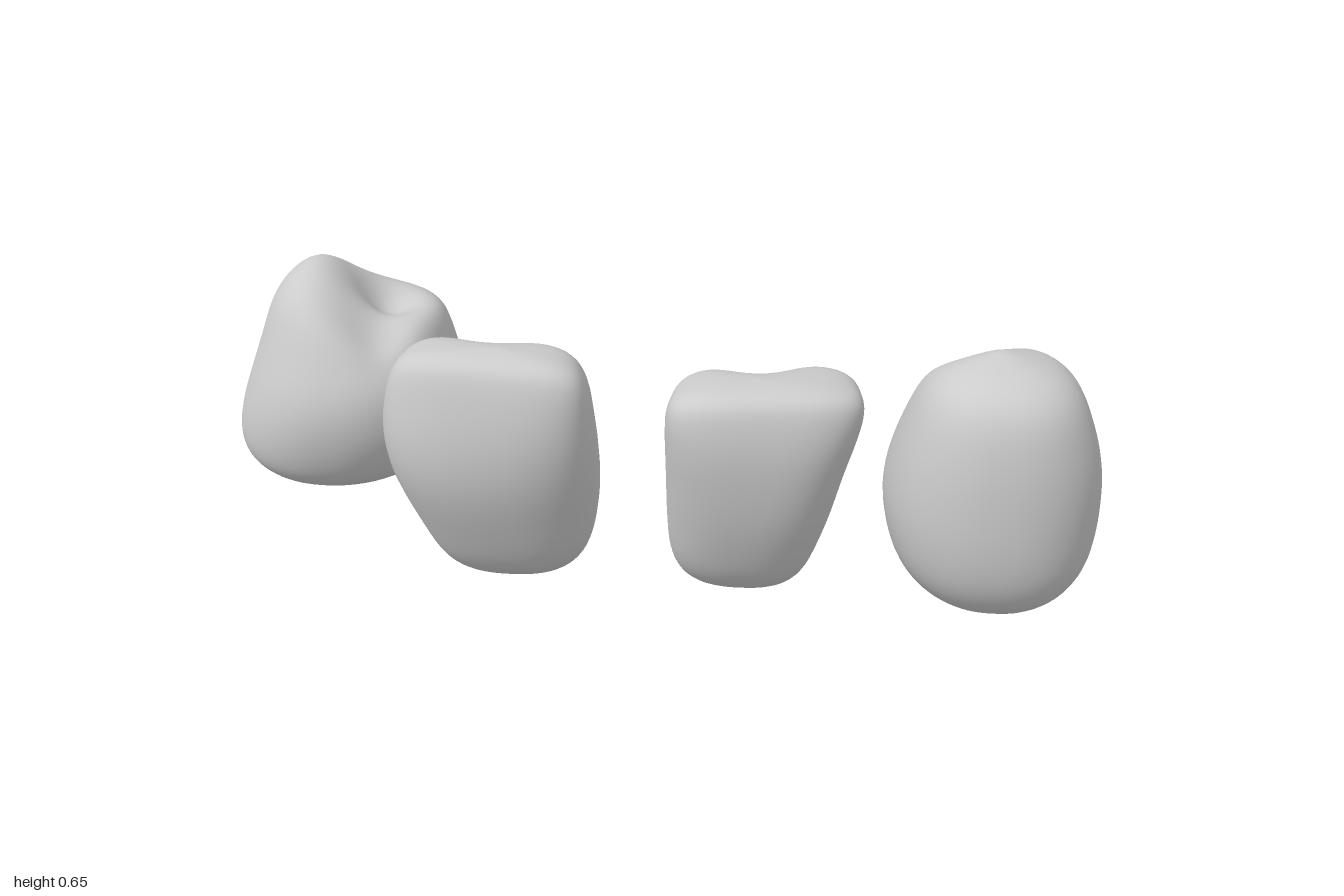
import * as THREE from 'three';
import { mergeVertices } from 'three/addons/utils/BufferGeometryUtils.js';

const COLS = 64, CAP = 14, BODY = 24, SMOOTHING = 24;
const material = new THREE.MeshStandardMaterial({ color: 0xcccccc, roughness: 0.8 });
const { smoothstep, lerp } = THREE.MathUtils;
const signedPow = (v, e) => Math.sign(v) * Math.pow(Math.abs(v), e);

// Plan outline in a -1..1 square: a superellipse narrowed towards the back by taper
function planOutline(power, taper) {
  const points = [];
  for (let j = 0; j < COLS; j++) {
    const a = j / COLS * Math.PI * 2;
    const v = signedPow(Math.sin(a), 2 / power);
    points.push([signedPow(Math.cos(a), 2 / power) * (1 - taper * (1 - v) / 2), v]);
  }
  const widest = Math.max(...points.map(p => p[0]));
  return points.map(([u, v]) => [u / widest, v]);
}

// Rounded end: shrinks an end ring [y, xMid, zMid, xHalf, zHalf] towards a point
function capRing([y, x, z, hx, hz], [px, py, pz], t, power) {
  const k = t < 1 ? Math.pow(Math.cos(t * Math.PI / 2), 2 / power) : 0;
  const rise = Math.pow(Math.sin(t * Math.PI / 2), 2 / power);
  return [lerp(y, py, rise), lerp(px, x, k), lerp(pz, z, k), hx * k, hz * k];
}

// Averages each ring with its neighbours so body and caps flow together
function relax(rings) {
  return rings.map((ring, i) => (i === 0 || i === rings.length - 1) ? ring
    : ring.map((v, c) => v / 2 + (rings[i - 1][c] + rings[i + 1][c]) / 4));
}

// levels: [y, xMin, xMax, zMin, zMax]; root and tip: closing points
// square and skew: how far the tip turns into a straight, turned edge
// dents: [x, z, radius, height] bumps and hollows fading in above fadeStart
function makeTooth(name, { root, tip, levels, tipPower, power, taper, square = 0, skew = 0, dents, fadeStart }) {
  const curve = (a, b) => new THREE.CatmullRomCurve3(
    levels.map(l => new THREE.Vector3((l[a] + l[b]) / 2, l[0], (l[b] - l[a]) / 2)), false, 'catmullrom', 0.5);
  const xs = curve(1, 2), zs = curve(3, 4);
  const body = [];
  for (let i = 0; i <= BODY; i++) {
    const px = xs.getPoint(i / BODY), pz = zs.getPoint(i / BODY);
    body.push([px.y, px.x, pz.x, px.z, pz.z]);
  }
  let rings = [...body];
  for (let i = 1; i <= CAP; i++) {
    rings.unshift(capRing(body[0], root, i / CAP, 2));
    rings.push(capRing(body[BODY], tip, i / CAP, tipPower));
  }
  for (let i = 0; i < SMOOTHING; i++) rings = relax(rings);

  const pos = [], index = [];
  rings.forEach(([level, mx, mz, hx, hz], i) => {
    const s = square * smoothstep(level, 0.25, 0.6);
    const fade = smoothstep(level, fadeStart, 0.53);
    planOutline(lerp(power, 3.4, s), taper * (1 - s)).forEach(([u, v], j) => {
      const x = mx + u * hx, z = mz + v * hz + skew * s * u * hx;
      let y = level;
      for (const [cx, cz, r, h] of dents) y += fade * h * Math.exp(-((x - cx) ** 2 + (z - cz) ** 2) / (r * r));
      pos.push(x, y, z);
      if (i < rings.length - 1) {
        const a = i * COLS + j, b = i * COLS + (j + 1) % COLS;
        index.push(a, a + COLS, b, b, a + COLS, b + COLS);
      }
    });
  });
  let geo = new THREE.BufferGeometry();
  geo.setAttribute('position', new THREE.Float32BufferAttribute(pos, 3));
  geo.setIndex(index);
  geo = mergeVertices(geo, 1e-5);
  geo.computeVertexNormals();
  const mesh = new THREE.Mesh(geo, material);
  mesh.name = name;
  return mesh;
}

export function createModel() {
  const group = new THREE.Group();
  group.name = 'teeth';

  // Bell-shaped tooth with a long outer cusp and a low inner cusp
  group.add(makeTooth('rightPremolar', {
    root: [-0.78, 0.085, -0.22], tip: [-0.69, 0.55, -0.22], tipPower: 2.6, power: 2.2, taper: -0.25,
    levels: [
      [0.19, -1, -0.49, -0.44, 0],
      [0.26, -0.995, -0.448, -0.465, 0.03],
      [0.35, -0.965, -0.455, -0.473, 0.04],
      [0.42, -0.935, -0.47, -0.465, 0.02],
      [0.49, -0.9, -0.49, -0.44, -0.02]],
    dents: [[-0.79, -0.13, 0.12, 0.06], [-0.78, -0.27, 0.12, 0.075],
      [-0.63, -0.24, 0.07, -0.06], [-0.61, -0.07, 0.08, -0.05]],
    fadeStart: 0.32,
  }));

  // Wide blade with a hollow inner face
  group.add(makeTooth('rightIncisor', {
    root: [-0.27, 0.055, 0.15], tip: [-0.27, 0.65, 0.31], tipPower: 3, power: 2.4, taper: 0.6,
    levels: [
      [0.19, -0.44, -0.085, -0.04, 0.335],
      [0.3, -0.485, -0.066, -0.075, 0.39],
      [0.4, -0.52, -0.064, -0.035, 0.415],
      [0.5, -0.52, -0.07, 0.06, 0.415],
      [0.58, -0.495, -0.08, 0.18, 0.4]],
    square: 0.75, skew: 0.2, dents: [[-0.29, 0.16, 0.09, -0.03]], fadeStart: 0.25,
  }));

  // Narrower blade leaning outward
  group.add(makeTooth('leftIncisor', {
    root: [0.24, 0.07, 0.17], tip: [0.28, 0.616, 0.35], tipPower: 3, power: 2.4, taper: 0.55,
    levels: [
      [0.19, 0.08, 0.385, 0, 0.38],
      [0.3, 0.078, 0.42, -0.02, 0.43],
      [0.4, 0.078, 0.44, 0.015, 0.45],
      [0.49, 0.077, 0.467, 0.1, 0.462],
      [0.56, 0.077, 0.483, 0.2, 0.45]],
    square: 0.75, skew: -0.14, dents: [[0.26, 0.21, 0.08, -0.03]], fadeStart: 0.25,
  }));

  // Rounded egg with a hollow on the inner slope
  group.add(makeTooth('leftCanine', {
    root: [0.79, 0, 0.14], tip: [0.76, 0.61, 0.15], tipPower: 2.2, power: 2.3, taper: 0,
    levels: [
      [0.16, 0.555, 0.995, -0.15, 0.34],
      [0.23, 0.538, 1, -0.16, 0.35],
      [0.3, 0.537, 1, -0.135, 0.352],
      [0.4, 0.555, 0.987, -0.09, 0.352],
      [0.5, 0.59, 0.945, -0.04, 0.337]],
    dents: [[0.69, 0.02, 0.09, -0.05], [0.75, 0.15, 0.06, 0.005]], fadeStart: 0.3,
  }));
  return group;
}
